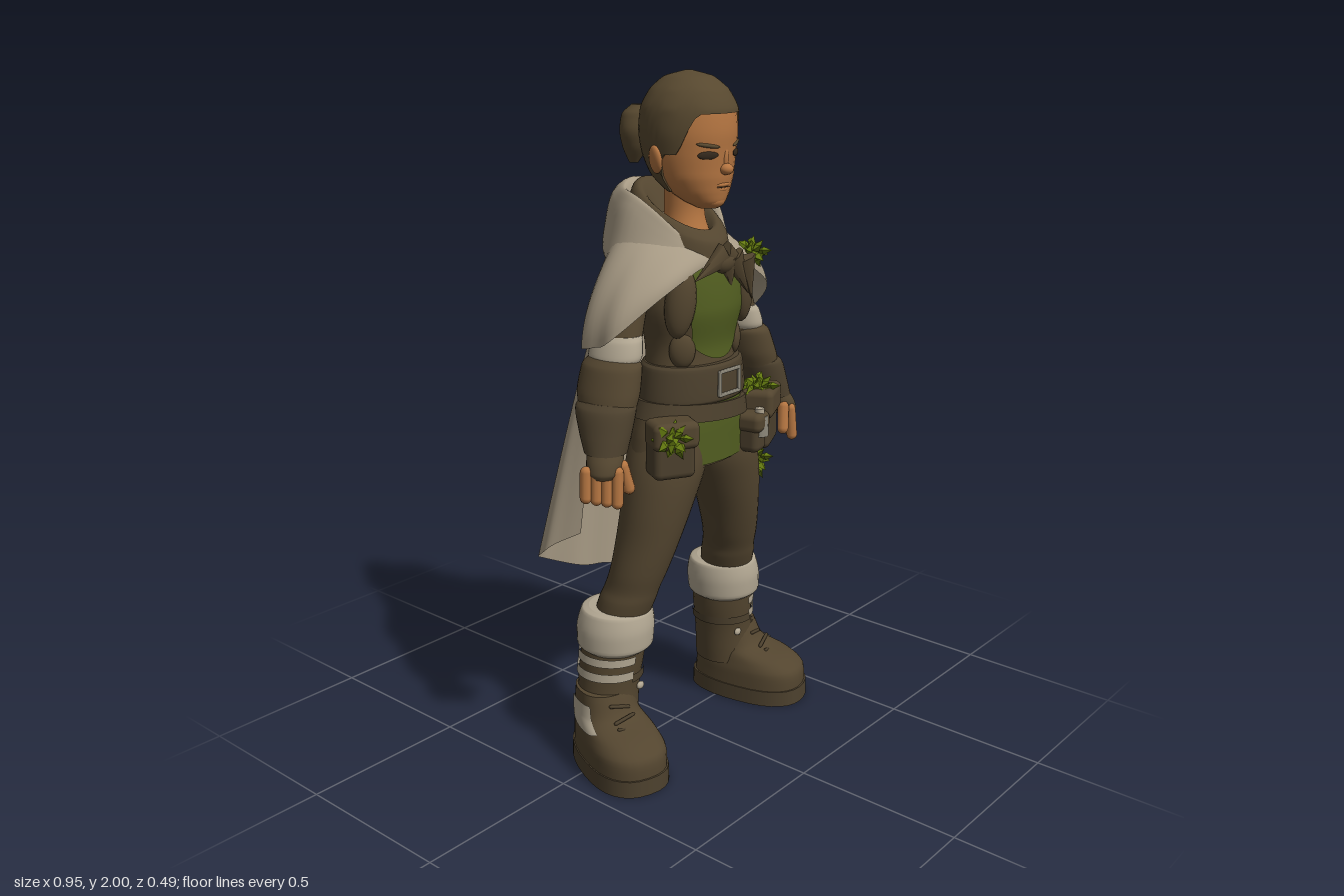
import * as THREE from 'three';
import { RoundedBoxGeometry } from 'three/addons/geometries/RoundedBoxGeometry.js';

const { smoothstep, lerp } = THREE.MathUtils;
const mat = (name, color, extra = {}) => Object.assign(new THREE.MeshStandardMaterial({ color, ...extra }), { name });

// Grid surface: f(u, v) gives a point; u runs to the right, v runs down
function sheet(nu, nv, f, closed = false) {
  const pos = [], idx = [], cols = closed ? nu : nu + 1;
  for (let j = 0; j <= nv; j++) for (let i = 0; i < cols; i++) pos.push(...f(i / nu, j / nv));
  for (let j = 0; j < nv; j++) for (let i = 0; i < nu; i++) {
    const k = (i + 1) % cols, a = j * cols + i, b = j * cols + k, c = a + cols, d = b + cols;
    idx.push(a, c, b, b, c, d);
  }
  const g = new THREE.BufferGeometry();
  g.setAttribute('position', new THREE.Float32BufferAttribute(pos, 3));
  g.setIndex(idx);
  g.computeVertexNormals();
  return g;
}

// Smooth skin over rings [x, y, z, rx, rz, tilt], listed from top to bottom
function loft(rings, { from = 0, to = 2 * Math.PI, grow = 0, vEnd = () => 1, v0 = 0, cap = true, p = 1, nu = 32 } = {}) {
  const mid = new THREE.CatmullRomCurve3(rings.map(r => new THREE.Vector3(r[0], r[1], r[2])));
  const rad = new THREE.CatmullRomCurve3(rings.map(r => new THREE.Vector3(r[3], r[4], r[5] || 0)));
  const closed = to - from > 6.28, nv = rings.length * 4, pow = q => Math.sign(q) * Math.abs(q) ** p;
  const caps = cap && closed ? 2 : 0, rows = nv + caps * 2;
  return sheet(nu, rows, (u, w) => {
    const j = Math.round(w * rows), th = from + (to - from) * u;
    const t = Math.min(1, Math.max(0, (j - caps) / nv)), v = lerp(v0, vEnd(th), t);
    const c = mid.getPoint(v), r = rad.getPoint(v);
    const k = caps && (j === 0 || j === rows) ? 0 : 1;
    return [c.x + k * (r.x + grow) * pow(Math.sin(th)), c.y + k * r.z * Math.cos(th), c.z + k * (r.y + grow) * pow(Math.cos(th))];
  }, closed);
}

// Moves every vertex by a rule
function bend(g, rule) {
  const q = g.attributes.position;
  for (let i = 0; i < q.count; i++) q.setXYZ(i, ...rule(q.getX(i), q.getY(i), q.getZ(i)));
  g.computeVertexNormals();
  return g;
}

export function createModel() {
  const root = new THREE.Group();
  root.name = 'cloakedTraveller';
  const skin = mat('skin', 0xb47541), hair = mat('hair', 0x57482f), brown = mat('brownCloth', 0x53452f, { side: THREE.DoubleSide });
  const leather = mat('leather', 0x4c402d), cloak = mat('cloakCloth', 0xa89b85, { side: THREE.DoubleSide });
  const fur = mat('paleWrap', 0xb2a792, { side: THREE.DoubleSide }), green = mat('greenTunic', 0x515d20, { side: THREE.DoubleSide });
  const moss = mat('moss', 0x647a10), dark = mat('darkDetail', 0x33281c), metal = mat('metal', 0x8b8678);

  const add = (name, geo, m, x = 0, y = 0, z = 0, parent = root) => {
    const o = new THREE.Mesh(geo, m);
    o.name = name;
    o.position.set(x, y, z);
    parent.add(o);
    return o;
  };
  const ball = (name, m, x, y, z, sx, sy, sz) => {
    const o = add(name, new THREE.SphereGeometry(1, 20, 14), m, x, y, z);
    o.scale.set(sx, sy, sz);
    return o;
  };
  const box = (name, m, x, y, z, w, h, d, r = 0.02) => add(name, new RoundedBoxGeometry(w, h, d, 3, r), m, x, y, z);
  const rod = (name, m, a, b, r) => {
    const A = new THREE.Vector3(...a), B = new THREE.Vector3(...b), d = B.clone().sub(A);
    const o = add(name, new THREE.CapsuleGeometry(r, d.length(), 4, 10), m, ...A.add(B).multiplyScalar(0.5));
    o.quaternion.setFromUnitVectors(new THREE.Vector3(0, 1, 0), d.normalize());
    return o;
  };

  // Head and hair cap with a shaped hairline
  const headRings = [
    [0, 2.0, 0.05, 0.004, 0.004], [0, 1.985, 0.05, 0.058, 0.062], [0, 1.95, 0.052, 0.1, 0.105], [0, 1.9, 0.052, 0.126, 0.132],
    [0, 1.84, 0.052, 0.132, 0.137], [0, 1.78, 0.055, 0.126, 0.13], [0, 1.72, 0.068, 0.111, 0.113],
    [0, 1.68, 0.087, 0.087, 0.088], [0, 1.65, 0.108, 0.058, 0.06], [0, 1.632, 0.118, 0.028, 0.032]];
  add('head', loft(headRings, { v0: 0.1 }), skin);
  const hairline = th => {
    const c = -Math.cos(th);
    return 0.35 + 0.2 * smoothstep(c, -0.8, -0.35) + 0.24 * smoothstep(c, -0.1, 0.35);
  };
  add('hairCap', loft(headRings, { grow: 0.006, vEnd: hairline, nu: 48 }), hair);
  add('ponytail', loft([[0, 1.9, -0.13, 0.02, 0.025], [0, 1.875, -0.14, 0.045, 0.042], [0, 1.83, -0.142, 0.054, 0.046],
    [0, 1.78, -0.147, 0.04, 0.036], [0, 1.735, -0.155, 0.012, 0.014]]), hair);
  ball('hairTie', hair, 0, 1.86, -0.09, 0.026, 0.026, 0.025);
  add('neck', loft([[0, 1.72, 0.04, 0.058, 0.062], [0, 1.62, 0.035, 0.056, 0.058], [0, 1.5, 0.05, 0.085, 0.08]]), skin);

  // Face
  ball('nose', skin, 0, 1.742, 0.184, 0.021, 0.016, 0.02);
  ball('noseBridge', skin, 0, 1.772, 0.176, 0.011, 0.035, 0.013);
  ball('upperLip', skin, 0, 1.699, 0.166, 0.032, 0.009, 0.015);
  ball('lowerLip', skin, 0, 1.686, 0.162, 0.028, 0.009, 0.015);
  ball('mouth', dark, 0, 1.6925, 0.174, 0.028, 0.0015, 0.004);
  ball('chin', skin, 0, 1.654, 0.143, 0.036, 0.022, 0.027);
  for (const s of [1, -1]) {
    ball('eye', dark, s * 0.06, 1.782, 0.168, 0.031, 0.011, 0.005).rotation.y = s * 0.48;
    ball('eyeGlint', metal, s * 0.05, 1.781, 0.174, 0.008, 0.005, 0.003).rotation.y = s * 0.4;
    const brow = ball('eyebrow', hair, s * 0.06, 1.808, 0.169, 0.036, 0.006, 0.006);
    brow.rotation.set(0, s * 0.48, s * 0.15);
    const ear = ball('ear', skin, s * 0.128, 1.768, 0.04, 0.014, 0.04, 0.027);
    ear.rotation.set(0.2, s * 0.3, -s * 0.25);
  }

  // Torso, tunic and belts
  const torso = [[0, 1.54, 0.03, 0.1, 0.09], [0, 1.46, 0.045, 0.185, 0.122], [0, 1.36, 0.052, 0.178, 0.128],
    [0, 1.24, 0.055, 0.148, 0.11], [0, 1.12, 0.065, 0.165, 0.115], [0, 1.0, 0.06, 0.2, 0.122], [0, 0.9, 0.06, 0.19, 0.115]];
  add('vest', loft(torso), brown);
  add('greenFront', loft(torso, { from: -0.68, to: 0.68, grow: 0.006, v0: 0.14, vEnd: th => 0.54 - 0.14 * th * th }), green);
  add('tunicSkirt', loft([[0, 1.1, 0.065, 0.175, 0.122], [0, 1.0, 0.06, 0.208, 0.13], [0, 0.91, 0.06, 0.215, 0.128]],
    { from: -0.55, to: 0.55 }), green);
  add('skirtSides', loft([[0, 1.1, 0.063, 0.17, 0.12], [0, 1.0, 0.058, 0.21, 0.128], [0, 0.93, 0.055, 0.225, 0.13]],
    { from: 0.55, to: 2 * Math.PI - 0.55 }), brown);
  add('waistBelt', loft([[0, 1.2, 0.065, 0.16, 0.12], [0, 1.19, 0.065, 0.17, 0.128], [0, 1.1, 0.065, 0.184, 0.133], [0, 1.09, 0.065, 0.178, 0.128]]), leather);
  const hipBelt = add('hipBelt', loft([[0, 0.025, 0.06, 0.195, 0.135], [0, -0.025, 0.06, 0.21, 0.14]]), leather, 0, 1.06, 0);
  hipBelt.rotation.z = -0.08;
  for (const s of [1, -1]) {
    box('buckleSide', metal, 0.005 + s * 0.044, 1.145, 0.2, 0.01, 0.075, 0.01, 0.003);
    box('buckleBar', metal, 0.005, 1.145 + s * 0.034, 0.2, 0.095, 0.01, 0.01, 0.003);
    ball('vestLapel', brown, s * 0.135, 1.385, 0.135, 0.045, 0.1, 0.035).rotation.set(0, s * 0.5, s * 0.12);
    ball('vestPocket', brown, s * 0.115, 1.245, 0.125, 0.038, 0.05, 0.022).rotation.y = s * 0.7;
  }

  // Scarf, knot and its ragged tails
  add('scarf', loft([[0, 1.575, 0.03, 0.06, 0.065, -0.03], [0, 1.635, 0.015, 0.1, 0.115, -0.065], [0, 1.61, 0.015, 0.122, 0.145, -0.07],
    [0, 1.53, 0.02, 0.13, 0.148, -0.04]], { cap: false }), brown);
  ball('scarfKnot', brown, 0.01, 1.485, 0.168, 0.045, 0.034, 0.028);
  for (const [x, y, a, l] of [[-0.06, 1.475, -1.15, 0.14], [0.07, 1.475, 1.1, 0.14], [0.085, 1.435, 0.55, 0.14], [0.03, 1.445, 0.2, 0.09], [0.12, 1.42, 0.25, 0.13]]) {
    const t = add('scarfTail', new THREE.ConeGeometry(0.04, l, 7), brown, x, y, 0.175);
    t.scale.z = 0.5;
    t.rotation.z = Math.PI + a;
  }

  // Hood lying on the back; each ring is [yBack, zBack, yFront, zFront, rx]
  const hoodRings = [[1.53, -0.07, 1.49, 0.09, 0.085], [1.655, -0.125, 1.535, 0.118, 0.125], [1.695, -0.15, 1.53, 0.135, 0.145], [1.665, -0.2, 1.515, 0.146, 0.165],
    [1.58, -0.222, 1.5, 0.152, 0.188], [1.5, -0.222, 1.485, 0.155, 0.208], [1.46, -0.19, 1.475, 0.15, 0.205]];
  const hood = loft(hoodRings.map(([yb, zb, yf, zf, rx]) => [0, (yb + yf) / 2, (zb + zf) / 2, rx, (zf - zb) / 2, (yf - yb) / 2]), { cap: false, nu: 48 });
  add('hood', bend(hood, (x, y, z) => [x * (1 - 0.18 * smoothstep(-z, 0.02, 0.2)), y + 0.05 * smoothstep(Math.abs(x), 0.03, 0.13) * smoothstep(y, 1.5, 1.6) * smoothstep(z, -0.15, 0), z]), cloak);

  // Shoulder cape and long cloak, whose hem flares into a rounded lobe on each side
  add('shoulderCape', sheet(64, 16, (u, v) => {
    const th = u * 2 * Math.PI, c = Math.cos(th), s = Math.sin(th), w = Math.sin(v * Math.PI / 2);
    const front = Math.max(0, c), back = Math.max(0, -c), wide = c > 0 ? 1 + 0.1 * w * Math.sin(2 * th) ** 2 : 1;
    const yEnd = 1.275 + 0.21 * front ** 1.8 - 0.05 * back, fold = wide + 0.018 * v * Math.sin(th * 9);
    return [lerp(0.12, 0.335, w) * s * fold, lerp(1.61 - 0.06 * c, yEnd, v), lerp(0.11, c > 0 ? 0.165 : 0.185, w) * c * fold];
  }, true), cloak);
  const hem = new THREE.CatmullRomCurve3([[0, 0.48, -0.165], [0.12, 0.52, -0.18], [0.22, 0.545, -0.2], [0.3, 0.575, -0.238],
    [0.36, 0.61, -0.225], [0.383, 0.65, -0.17], [0.365, 0.69, -0.11], [0.345, 0.72, -0.06]].map(q => new THREE.Vector3(...q)));
  add('longCloak', sheet(72, 18, (u, v) => {
    const k = 1 - 2 * u, a = k * Math.PI / 2, e = v ** 0.9, h = hem.getPoint(Math.abs(k));
    return [lerp(0.25 * Math.sin(a), Math.sign(k) * h.x, e), lerp(1.36, h.y, v),
      lerp(-0.04 - 0.115 * Math.cos(a), h.z, e) + 0.013 * Math.sin(k * 17) * v * Math.cos(a)];
  }), cloak);

  for (const s of [1, -1]) {
    const L = (rings, o) => loft(rings.map(([x, ...r]) => [s * x, ...r]), o);
    // Arm with wrapped sleeve, bracers, glove and fingers
    add('upperSleeve', L([[0.17, 1.47, 0.02, 0.055, 0.055], [0.225, 1.38, 0.015, 0.055, 0.065], [0.28, 1.22, 0.015, 0.06, 0.078]]), brown);
    add('sleeveWrap', L([[0.258, 1.305, 0.018, 0.05, 0.07], [0.264, 1.29, 0.018, 0.057, 0.078], [0.274, 1.25, 0.018, 0.062, 0.084], [0.28, 1.228, 0.018, 0.056, 0.076]]), fur);
    add('elbowGuard', L([[0.282, 1.245, 0.018, 0.054, 0.074], [0.29, 1.222, 0.02, 0.07, 0.094], [0.31, 1.16, 0.025, 0.074, 0.098], [0.328, 1.11, 0.035, 0.068, 0.088]]), brown);
    add('bracer', L([[0.325, 1.135, 0.035, 0.066, 0.082], [0.336, 1.115, 0.038, 0.075, 0.092], [0.36, 1.05, 0.058, 0.068, 0.076], [0.377, 1.005, 0.074, 0.06, 0.06]]), leather);
    add('glove', L([[0.37, 1.03, 0.07, 0.048, 0.05], [0.392, 0.99, 0.085, 0.05, 0.052], [0.406, 0.96, 0.093, 0.046, 0.048], [0.412, 0.945, 0.095, 0.036, 0.036]]), brown);
    for (let i = 0; i < 4; i++) {
      const x = 0.397 + 0.018 * i, z = 0.135 - 0.022 * i;
      rod('finger', skin, [s * x, 0.962, z], [s * (x + 0.006), 0.877 + 0.005 * i, z + 0.004], 0.017);
    }
    rod('thumb', skin, [s * 0.37, 0.972, 0.128], [s * 0.356, 0.908, 0.138], 0.018);

    // Trouser leg
    add('trouserLeg', L([[0.1, 1.0, 0.06, 0.1, 0.11], [0.122, 0.9, 0.068, 0.12, 0.115], [0.155, 0.8, 0.068, 0.108, 0.105], [0.187, 0.69, 0.058, 0.092, 0.095],
      [0.212, 0.6, 0.045, 0.085, 0.085], [0.226, 0.545, 0.03, 0.079, 0.083], [0.235, 0.51, 0.02, 0.083, 0.084], [0.25, 0.44, 0, 0.08, 0.08]]), brown);

    // Boot: shaft, fur cuff, straps and wrapped bands
    const side = (a, b) => s > 0 ? { from: a, to: b } : { from: -b, to: -a };
    const shaft = [[0.255, 0.42, -0.012, 0.094, 0.094], [0.262, 0.33, -0.02, 0.095, 0.095], [0.275, 0.23, -0.025, 0.092, 0.092], [0.288, 0.12, -0.025, 0.094, 0.098]];
    add('bootShaft', L(shaft), brown);
    add('furCuff', L([[0.25, 0.482, -0.008, 0.085, 0.085], [0.25, 0.475, -0.01, 0.103, 0.105], [0.255, 0.42, -0.012, 0.114, 0.116],
      [0.258, 0.37, -0.012, 0.112, 0.113], [0.26, 0.352, -0.012, 0.092, 0.093]]), fur);
    for (const [v0, v1] of [[0.27, 0.36], [0.43, 0.52]])
      add('bootWrap', L(shaft, { ...side(0.1, 3.3), grow: 0.006, v0, vEnd: () => v1 }), fur);
    add('bootStrap', L([[0.27, 0.29, -0.022, 0.1, 0.1], [0.272, 0.265, -0.022, 0.1, 0.1]], side(-2.9, 0.1)), leather);
    ball('strapStud', fur, s * 0.235, 0.235, 0.066, 0.014, 0.012, 0.008);

    // Foot, turned outwards and wider at the toe, with a pale ankle patch
    const foot = new THREE.Group();
    foot.name = 'foot';
    foot.position.set(s * 0.307, 0, 0);
    foot.rotation.y = s * 0.3;
    root.add(foot);
    const shoe = (rings, o) => bend(loft(rings, { p: 0.85, ...o }), (x, y, z) => [x * (0.9 + 0.9 * z), y, z]);
    const upper = [[0, 0.235, -0.027, 0.09, 0.085], [0, 0.17, -0.012, 0.098, 0.105], [0, 0.135, 0.03, 0.105, 0.155],
      [0, 0.1, 0.05, 0.112, 0.18], [0, 0.03, 0.05, 0.114, 0.185]];
    add('shoeUpper', shoe(upper), brown, 0, 0, 0, foot);
    add('anklePatch', shoe(upper, { ...side(1.0, 2.3), grow: 0.005, v0: 0.1, vEnd: th => 0.38 + 0.12 * Math.cos((Math.abs(th) - 1.7) * 2) }), fur, 0, 0, 0, foot);
    add('shoeSole', shoe([[0, 0.05, 0.05, 0.117, 0.19], [0, 0.0, 0.05, 0.118, 0.192]]), leather, 0, 0, 0, foot);
    for (let i = 0; i < 4; i++) {
      const lace = add('lace', new THREE.CapsuleGeometry(0.006, 0.06, 3, 6), leather, 0, 0.15 + i * 0.026, 0.118 - i * 0.019 - (i > 1 ? 0.01 : 0), foot);
      lace.rotation.z = Math.PI / 2 + (i % 2 ? 0.25 : -0.25);
    }
  }

  // Pouches with flaps and a small flask
  for (const [x, y, z, w, h, ry] of [[0.215, 0.99, 0.15, 0.14, 0.18, 0.45], [0.125, 0.965, 0.18, 0.07, 0.12, 0.2], [-0.195, 0.985, 0.15, 0.125, 0.165, -0.5]]) {
    box('pouch', leather, x, y, z, w, h, 0.09).rotation.y = ry;
    box('pouchFlap', brown, x, y + h * 0.27, z + 0.006, w + 0.012, h * 0.48, 0.1).rotation.y = ry;
  }
  add('flask', new THREE.CylinderGeometry(0.024, 0.028, 0.06, 12), metal, 0.135, 0.985, 0.212);
  add('flaskCap', new THREE.CylinderGeometry(0.014, 0.014, 0.025, 12), fur, 0.135, 1.025, 0.212);

  // Moss tufts made of pointed leaves
  const leaf = new THREE.OctahedronGeometry(1), up = new THREE.Vector3(0, 1, 0);
  for (const [x, y, z, rx, ry] of [[0.188, 1.485, 0.128, 0.055, 0.038], [0.195, 1.085, 0.16, 0.06, 0.03], [0.25, 0.835, 0.105, 0.055, 0.07], [-0.222, 1.025, 0.18, 0.055, 0.055]]) {
    for (let i = 0; i < 26; i++) {
      const h = 1 - 2 * (i + 0.5) / 26, a = i * 2.4, r = Math.sqrt(1 - h * h), d = new THREE.Vector3(r * Math.cos(a), h, r * Math.sin(a));
      const k = 0.55 + 0.2 * Math.sin(i * 5.3);
      const o = add('mossLeaf', leaf, moss, x + d.x * rx * k, y + d.y * ry * k, z + d.z * rx * k);
      o.scale.set(0.019, 0.025, 0.012);
      o.quaternion.setFromUnitVectors(up, d);
    }
  }
  return root;
}
